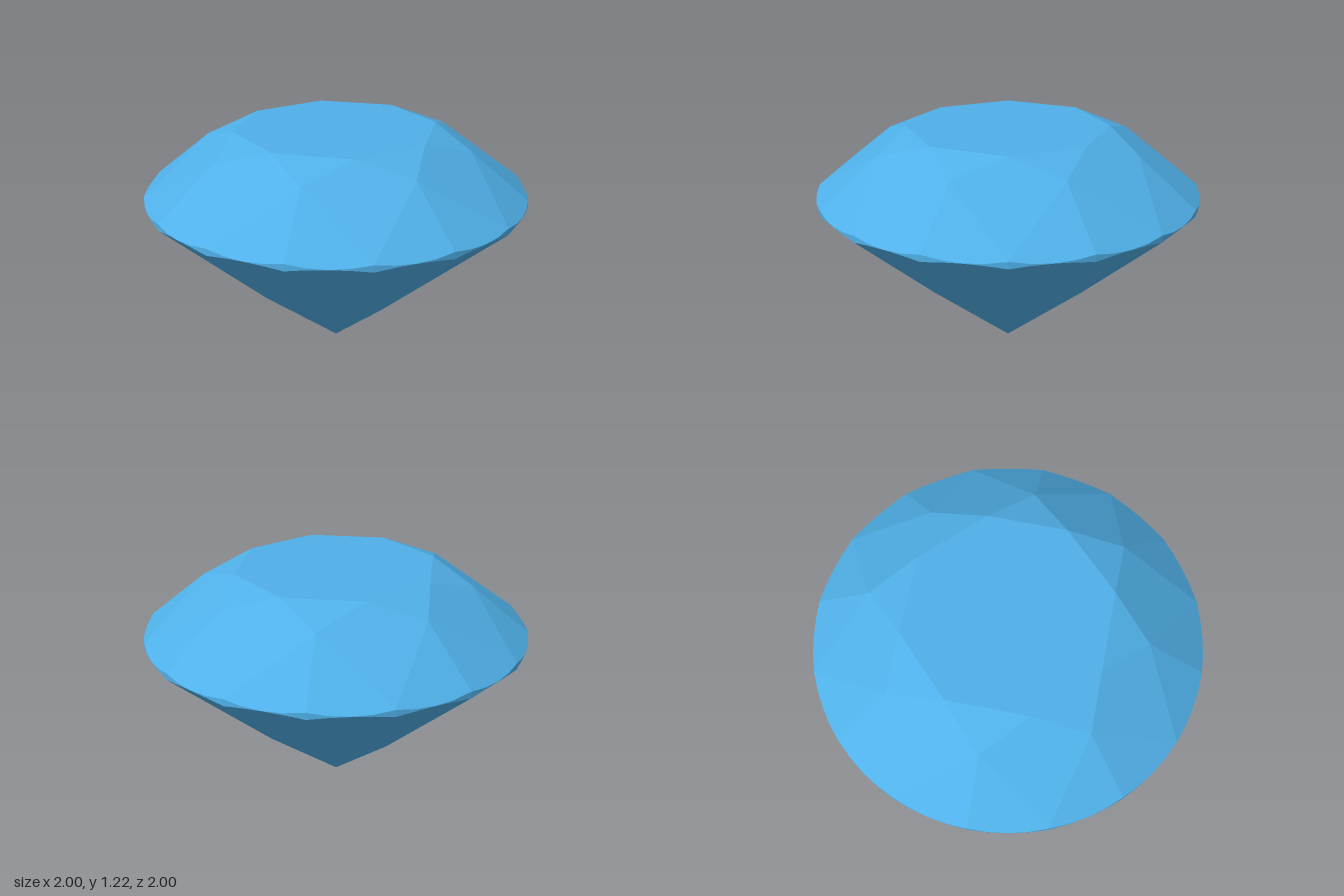
import * as THREE from 'three';

const STEP = Math.PI / 8; // sixteen girdle divisions
const SEG = 4; // girdle segments per division
const TABLE = { r: 0.53, y: 1.22 };
const TOP = 0.898, BOTTOM = 0.863; // girdle heights at its thick points
const STAR_R = 0.7, PAV_R = 0.43;
// heights that keep the crown and pavilion kites flat
const STAR_Y = TOP + (1 - STAR_R * Math.cos(STEP)) * (TABLE.y - TOP) / (1 - TABLE.r);
const PAV_Y = BOTTOM * PAV_R * Math.cos(STEP);

// point at angle k * STEP, measured from the front
const at = (r, k, y) => new THREE.Vector3(r * Math.sin(k * STEP), y, r * Math.cos(k * STEP));

// scalloped girdle edge: the flat girdle facet cut by the unit cylinder
function edgeY(k, y0, innerR, innerY) {
  const mid = Math.floor(k) + 0.5, c = Math.cos(STEP / 2);
  const slope = (innerY - y0) / (c - innerR * c);
  return y0 - slope * (Math.cos((k - mid) * STEP) - c);
}
const upper = (k) => at(1, k, edgeY(k, TOP, STAR_R, STAR_Y));
const lower = (k) => at(1, k, edgeY(k, BOTTOM, PAV_R, PAV_Y));

// collects convex facets (counter-clockwise from outside) as triangle fans
function facetMesh(name, facets, material) {
  const pts = [];
  for (const f of facets)
    for (let i = 1; i < f.length - 1; i++) pts.push(f[0], f[i], f[i + 1]);
  const geometry = new THREE.BufferGeometry().setFromPoints(pts);
  geometry.computeVertexNormals();
  const mesh = new THREE.Mesh(geometry, material);
  mesh.name = name;
  return mesh;
}

export function createModel() {
  const group = new THREE.Group();
  group.name = 'brilliantCutGem';
  const material = new THREE.MeshStandardMaterial({ color: 0x4fb0e8, flatShading: true });

  const table = [[]], stars = [], kites = [], upperFacets = [];
  const girdle = [], pavilionKites = [], lowerFacets = [];
  const culet = new THREE.Vector3(0, 0, 0);

  // eight-fold main facets
  for (let k = 0; k < 16; k += 2) {
    const t = at(TABLE.r, k, TABLE.y), tNext = at(TABLE.r, k + 2, TABLE.y);
    const starL = at(STAR_R, k - 1, STAR_Y), starR = at(STAR_R, k + 1, STAR_Y);
    table[0].push(t);
    stars.push([t, starR, tNext]);
    kites.push([t, starL, upper(k), starR]);
    pavilionKites.push([culet, at(PAV_R, k + 1, PAV_Y), lower(k), at(PAV_R, k - 1, PAV_Y)]);
  }

  // sixteen-fold girdle facets and the thin girdle band
  for (let k = 0; k < 16; k++) {
    const odd = k % 2 ? k : k + 1;
    const up = [at(STAR_R, odd, STAR_Y)], low = [at(PAV_R, odd, PAV_Y)];
    for (let s = 0; s <= SEG; s++) {
      // stay just inside the division so both ends use the same facet
      const a = k + Math.min(s / SEG, 1 - 1e-9);
      up.push(upper(a));
      low.splice(1, 0, lower(a));
    }
    upperFacets.push(up);
    lowerFacets.push(low);
    for (let s = 0; s < SEG; s++) {
      const a = k + s / SEG, b = k + (s + 1) / SEG;
      girdle.push([lower(a), lower(b), upper(b), upper(a)]);
    }
  }

  group.add(
    facetMesh('table', table, material),
    facetMesh('starFacets', stars, material),
    facetMesh('crownKites', kites, material),
    facetMesh('upperGirdleFacets', upperFacets, material),
    facetMesh('girdle', girdle, material),
    facetMesh('lowerGirdleFacets', lowerFacets, material),
    facetMesh('pavilionKites', pavilionKites, material)
  );
  return group;
}
